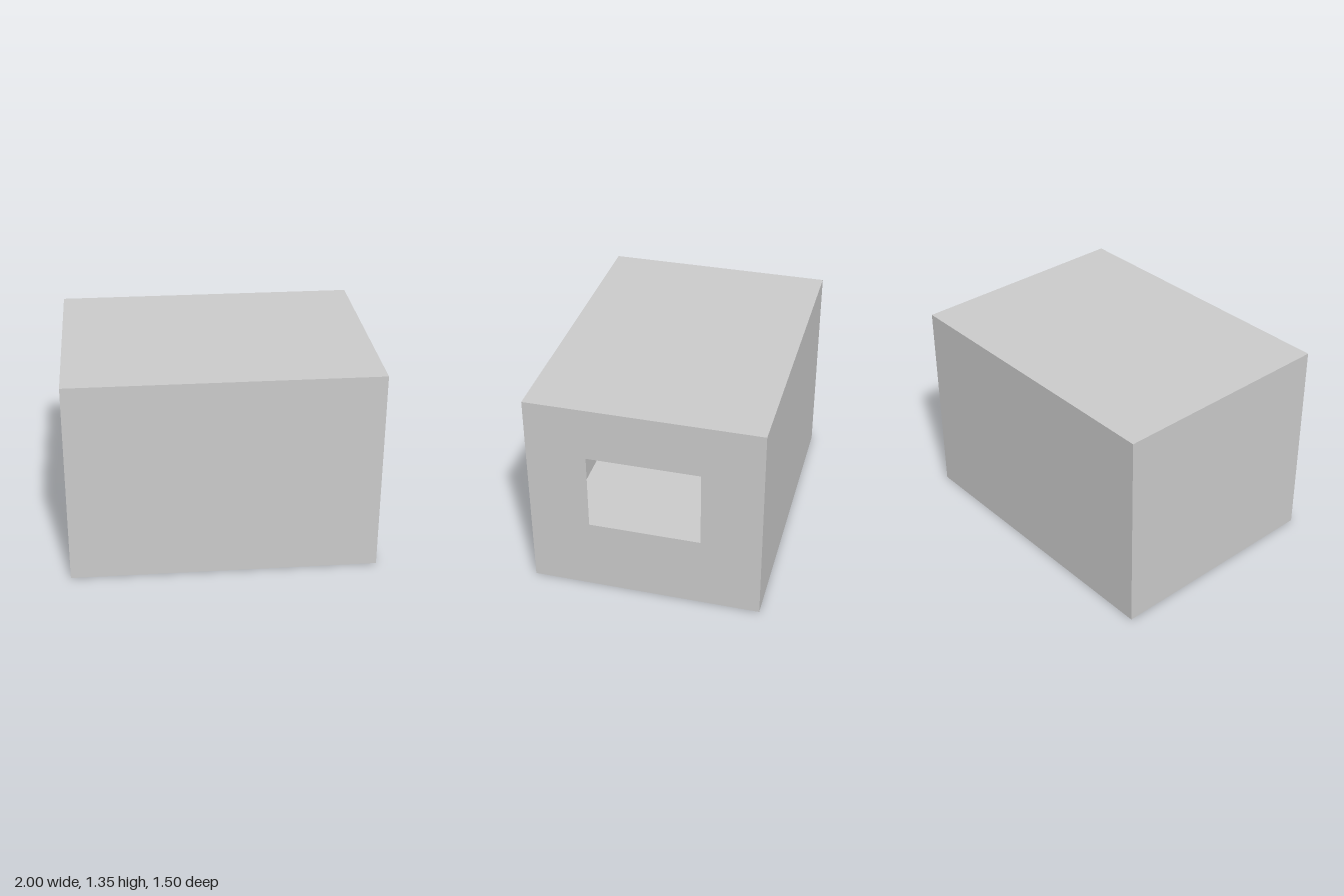
import * as THREE from 'three';

const W = 2, H = 1.35, D = 1.5;

export function createModel() {
  const group = new THREE.Group();
  const material = new THREE.MeshStandardMaterial({ color: 0xcccccc, side: THREE.DoubleSide });

  const add = (name, geometry, position, rotation = [0, 0, 0]) => {
    const mesh = new THREE.Mesh(geometry, material);
    mesh.name = name;
    mesh.position.set(...position);
    mesh.rotation.set(...rotation);
    group.add(mesh);
  };

  // Thin closed walls, floor and ceiling of the hollow room
  const q = Math.PI / 2;
  add('frontWall', new THREE.PlaneGeometry(W, H), [0, H / 2, D / 2]);
  add('backWall', new THREE.PlaneGeometry(W, H), [0, H / 2, -D / 2], [0, Math.PI, 0]);
  add('rightWall', new THREE.PlaneGeometry(D, H), [-W / 2, H / 2, 0], [0, -q, 0]);
  add('ceiling', new THREE.PlaneGeometry(W, D), [0, H, 0], [-q, 0, 0]);
  add('floor', new THREE.PlaneGeometry(W, D), [0, 0, 0], [q, 0, 0]);

  // Wall with the rectangular window opening
  const rectangle = (shape, halfWidth, bottom, top) => {
    shape.moveTo(-halfWidth, bottom);
    shape.lineTo(halfWidth, bottom);
    shape.lineTo(halfWidth, top);
    shape.lineTo(-halfWidth, top);
    shape.closePath();
    return shape;
  };
  const wall = rectangle(new THREE.Shape(), D / 2, 0, H);
  wall.holes.push(rectangle(new THREE.Path(), 0.362, 0.487, 1));
  add('windowWall', new THREE.ShapeGeometry(wall), [W / 2, 0, 0], [0, q, 0]);

  return group;
}
